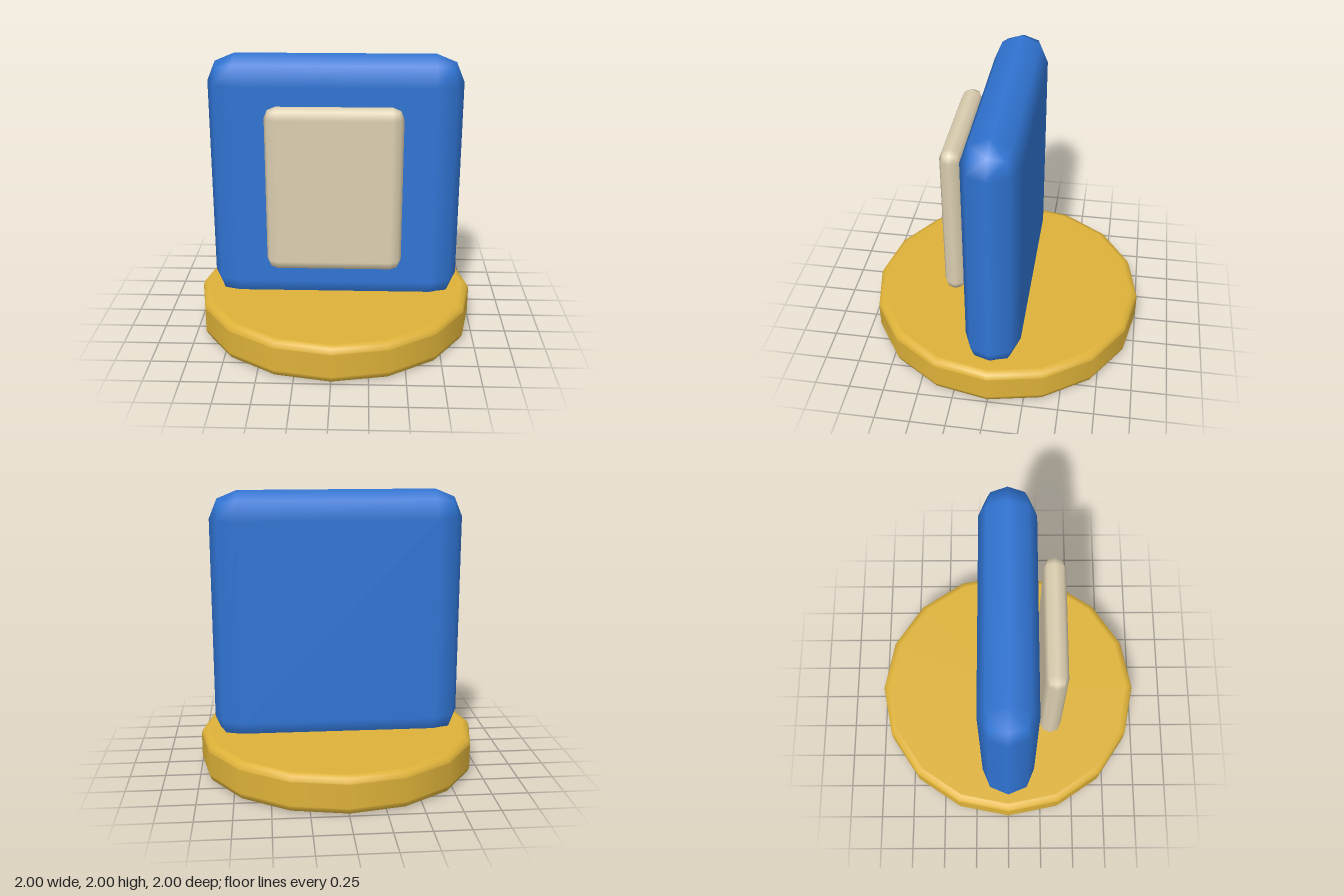
import * as THREE from 'three';
import { RoundedBoxGeometry } from 'three/addons/geometries/RoundedBoxGeometry.js';

const paint = (name, color) => {
  const m = new THREE.MeshStandardMaterial({ color });
  m.name = name;
  return m;
};

export function createModel() {
  const group = new THREE.Group();
  group.name = 'boardOnStand';
  const gold = paint('gold', 0xdeb239);
  const blue = paint('blue', 0x3074d3);
  const beige = paint('beige', 0xdccfb1);

  const add = (name, geometry, material, y = 0, z = 0) => {
    const mesh = new THREE.Mesh(geometry, material);
    mesh.name = name;
    mesh.position.set(0, y, z);
    group.add(mesh);
  };

  // Sixteen-sided disc with softened rims; close rings keep the flats flat
  const h = 0.265;
  const lower = [[0, 0], [0.945, 0], [0.955, 0], [0.987, 0.012], [1, 0.042], [1, 0.05]];
  const upper = lower.map(([r, y]) => [r, h - y]).reverse();
  const profile = [...lower, ...upper].map(([r, y]) => new THREE.Vector2(r, y));
  add('base', new THREE.LatheGeometry(profile, 16), gold);

  // Upright board, its foot sunk into the base
  add('board', new RoundedBoxGeometry(1.79, 1.84, 0.394, 1, 0.197), blue, 1.08);

  // Panel held just in front of the board
  add('frontPanel', new RoundedBoxGeometry(0.944, 1.18, 0.157, 1, 0.0785), beige, 1.11, 0.316);

  return group;
}
